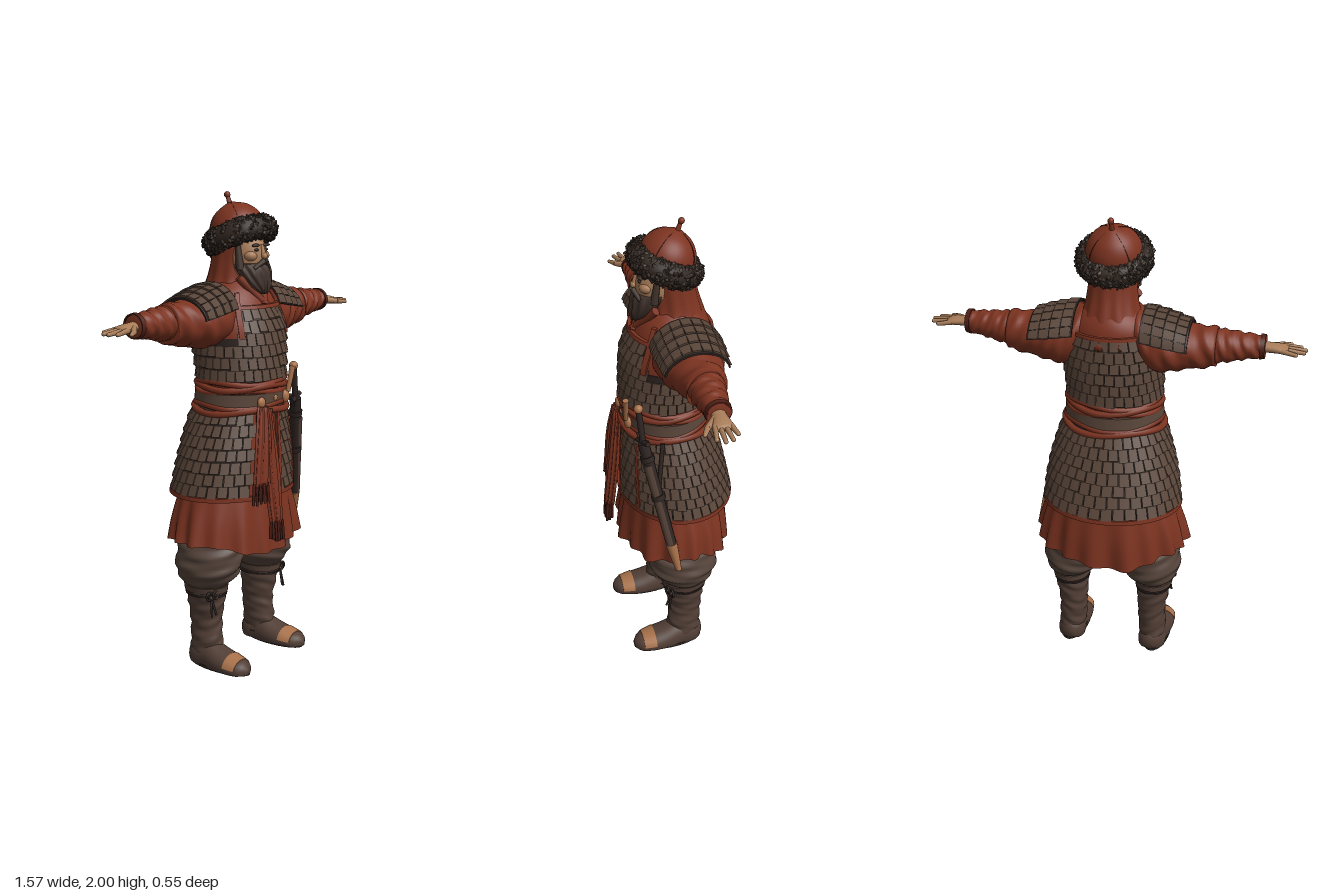
import * as THREE from 'three';
import { mergeGeometries } from 'three/addons/utils/BufferGeometryUtils.js';

const { sin, cos, PI, abs, max } = Math;
const V = (x, y, z) => new THREE.Vector3(x, y, z);
let seed = 7;
const rnd = () => (seed = (seed * 16807) % 2147483647) / 2147483647;

const mat = (name, color) => Object.assign(new THREE.MeshStandardMaterial({ color, side: THREE.DoubleSide }), { name });
const M = {
  rust: mat('rust cloth', 0x7c3320), maroon: mat('dark red cloth', 0x4c1f16),
  armour: mat('armour leather', 0x594539), dark: mat('dark leather', 0x2e2421),
  fur: mat('fur', 0x30261f), hair: mat('hair', 0x3f312a), skin: mat('skin', 0xa87c58),
  trouser: mat('trouser cloth', 0x54433a), boot: mat('boot leather', 0x513e35), tan: mat('tan horn', 0xa8714a),
};

// A body is a smooth stack of ellipses: rows of [height, rx, rz, cx, cz].
function body(sec) {
  const f = new THREE.CubicInterpolant(sec.map(s => s[0]), sec.flatMap(s => s.slice(1)), 4);
  return { t0: sec[0][0], t1: sec[sec.length - 1][0], at: t => [...f.evaluate(t)] };
}
function onBody(b, t, phi, off = 0) {
  const [rx, rz, cx, cz] = b.at(t);
  return [cx + max(rx + off, 0.001) * sin(phi), t, cz + max(rz + off, 0.001) * cos(phi)];
}
// Skin over a body; mod(phi, t, u) returns [outward offset, vertical shift].
function loft(b, rows, n, mod = () => [0, 0], caps = true) {
  const p = [], idx = [];
  for (let i = 0; i <= rows; i++) for (let j = 0; j < n; j++) {
    const u = i / rows, t = b.t0 + (b.t1 - b.t0) * u, phi = j / n * 2 * PI, [o, dy] = mod(phi, t, u);
    const q = onBody(b, t, phi, o);
    p.push(q[0], q[1] + dy, q[2]);
  }
  for (let i = 0; i < rows; i++) for (let j = 0; j < n; j++) {
    const k = (j + 1) % n, a = i * n;
    idx.push(a + j, a + k, a + n + j, a + k, a + n + k, a + n + j);
  }
  if (caps) {
    const c = p.length / 3, e = rows * n, lo = b.at(b.t0), hi = b.at(b.t1);
    p.push(lo[2], b.t0, lo[3], hi[2], b.t1, hi[3]);
    for (let j = 0; j < n; j++) idx.push(c, (j + 1) % n, j, c + 1, e + j, e + (j + 1) % n);
  }
  const g = new THREE.BufferGeometry();
  g.setAttribute('position', new THREE.Float32BufferAttribute(p, 3));
  g.setIndex(idx);
  g.computeVertexNormals();
  return g;
}
// Curved plate lying on a body.
function patch(b, p0, p1, t0, t1, off = 0.002, thick = 0.008, flare = 0, segs = 2, vs = 1) {
  const g = new THREE.BoxGeometry(1, 1, 1, segs, vs, 1), a = g.attributes.position;
  for (let i = 0; i < a.count; i++) {
    const v = a.getY(i) + 0.5;
    a.setXYZ(i, ...onBody(b, t0 + (t1 - t0) * v, p0 + (p1 - p0) * (a.getX(i) + 0.5),
      off + thick * (a.getZ(i) + 0.5) + flare * (1 - v)));
  }
  g.computeVertexNormals();
  return g;
}
function rod(a, b, r0, r1 = r0, n = 8) {
  const d = b.clone().sub(a), g = new THREE.CylinderGeometry(r1, r0, d.length(), n);
  g.applyQuaternion(new THREE.Quaternion().setFromUnitVectors(V(0, 1, 0), d.normalize()));
  return g.translate((a.x + b.x) / 2, (a.y + b.y) / 2, (a.z + b.z) / 2);
}
const ball = (x, y, z, rx, ry = rx, rz = rx) => new THREE.SphereGeometry(1, 20, 14).scale(rx, ry, rz).translate(x, y, z);
const merge = list => mergeGeometries(list.map(g => (g.deleteAttribute('uv'), g)));
function mirror(geo) {
  const g = geo.clone().scale(-1, 1, 1), a = g.index.array;
  for (let i = 0; i < a.length; i += 3) [a[i], a[i + 1]] = [a[i + 1], a[i]];
  return g;
}
// Rows of overlapping plates; keep(phi, row) chooses which ones exist.
function plates(b, n, rows, t0, t1, keep) {
  const out = [], h = (t1 - t0) / rows, w = 2 * PI / n;
  for (let r = 0; r < rows; r++) for (let j = 0; j < n; j++) {
    const phi = (j + (r % 2) / 2) * w - PI, y = t0 + r * h;
    if (keep(phi + w / 2, r)) out.push(patch(b, phi + 0.008, phi + w - 0.008, y + 0.008 * rnd(), y + h - 0.001, 0.001, 0.007, 0.01));
  }
  return merge(out);
}
const folds = (amp, f) => (p, t) => [amp * sin(t * f + 2 * sin(2 * p) + p) + amp * 0.5 * sin(t * f * 1.7 + 3 * p), 0];

export function createModel() {
  const root = new THREE.Group();
  function add(name, geo, m, both = false, parent = root) {
    for (const g of both ? [geo, mirror(geo)] : [geo]) {
      const mesh = new THREE.Mesh(g, m);
      mesh.name = both ? (g === geo ? 'left ' : 'right ') + name : name;
      parent.add(mesh);
    }
  }

  // Coat and chest armour
  const torso = body([[1.06, .21, .18, 0, .01], [1.17, .19, .165, 0, .015], [1.25, .19, .172, 0, .018], [1.35, .197, .178, 0, .01],
    [1.45, .2, .176, 0, .003], [1.52, .188, .163, 0, -.01], [1.58, .165, .145, 0, -.018], [1.63, .115, .11, 0, -.02], [1.66, .07, .07, 0, -.02]]);
  add('coat', loft(torso, 30, 48), M.rust);
  add('chest armour backing', merge([patch(torso, -PI, PI, 1.235, 1.42, .001, .003, 0, 48, 5),
    patch(torso, -.78, .78, 1.42, 1.535, .001, .003, 0, 16, 4), patch(torso, PI - 1, PI + 1, 1.42, 1.53, .001, .003, 0, 16, 4)]), M.dark);
  add('chest plates', plates(torso, 32, 6, 1.24, 1.54, (p, r) => r < 3 || abs(p) < .95 - .06 * r + .1 || abs(p) > PI - 1.05 + .04 * (r - 3)), M.armour);
  add('chest trim', merge([patch(torso, -.72, .72, 1.535, 1.55, .002, .014, 0, 16), patch(torso, PI - .95, PI + .95, 1.535, 1.55, .002, .012, 0, 16),
    ...[-1, 1].map(s => patch(torso, s * .78 - .06, s * .78 + .06, 1.42, 1.6, .002, .016, 0, 2, 6))]), M.rust);

  // Waist sash strands and belt
  const strand = (y, off, r, k) => new THREE.TubeGeometry(new THREE.CatmullRomCurve3(Array.from({ length: 24 }, (_, i) => {
    const p = i / 24 * 2 * PI;
    return V(...onBody(torso, y + .008 * sin(3 * p + k), p, off));
  }), true), 72, r, 8, true);
  add('waist sash', merge([strand(1.232, .006, .013, 0), strand(1.213, .01, .014, 2), strand(1.197, .008, .012, 4),
    strand(1.135, .008, .014, 1), strand(1.115, .012, .015, 3)]), M.rust);
  add('belt', patch(torso, -PI, PI, 1.14, 1.19, .004, .014, 0, 48), M.armour);
  add('belt fittings', merge([ball(-.085, 1.155, .19, .022, .024, .014), ball(.0, 1.165, .195, .013, .016, .01),
    ball(.08, 1.16, .19, .022, .028, .016), rod(V(.085, 1.18, .2), V(.11, 1.285, .205), .01, .013)]), M.tan);

  // Armoured skirt
  const skirt = body([[.755, .287, .228, 0, -.03], [.9, .268, .212, 0, -.015], [1.05, .228, .19, 0, 0], [1.13, .2, .175, 0, .01]]);
  add('skirt backing', loft(skirt, 10, 48), M.dark);
  add('skirt plates', plates(skirt, 36, 7, .765, 1.115, p => p < -.52 || p > .06), M.armour);
  add('skirt trim', merge([patch(skirt, -PI, PI, .75, .768, .002, .016, 0, 48), patch(skirt, -.52, .06, .76, 1.11, .001, .004, 0, 8, 6),
    patch(skirt, .02, .09, .76, 1.11, .002, .016, 0, 2, 6), patch(skirt, .56, .62, .76, 1.08, .002, .016, 0, 2, 6)]), M.rust);

  // Pleated cloth skirt
  const cloth = body([[.57, .33, .235, 0, -.018], [.66, .31, .226, 0, -.02], [.8, .265, .2, 0, -.02]]);
  add('cloth skirt', loft(cloth, 10, 144, (p, t, u) => [(1 - u) * (.012 * sin(17 * p + sin(3 * p)) + .007 * sin(9 * p + 1)),
    (1 - u) * (-.028 * (1 + cos(2 * p)) + .008 * sin(5 * p))], false), M.rust);

  // Hanging sash ends with tassels
  const pleat = p => [.006 * sin(9 * p), 0];
  add('sash ends', merge([loft(body([[.82, .048, .018, -.125, .225], [1, .04, .018, -.105, .215], [1.14, .022, .018, -.085, .195]]), 14, 36, pleat),
    loft(body([[.65, .03, .018, -.06, .25], [.85, .042, .018, -.06, .228], [1.13, .025, .016, -.065, .198]]), 16, 36, pleat)]), M.rust);
  const fringe = (x, y, z, w) => Array.from({ length: 12 }, (_, i) => {
    const k = (i / 11 - .5) * 2 * w, d = (i % 3 - 1) * .01;
    return rod(V(x + k, y + .01, z + d), V(x + k * 1.15, y - .065 - .015 * rnd(), z + d * 1.3 + .004), .007, .006, 5);
  });
  add('tassels', merge([...fringe(-.125, .82, .228, .044), ...fringe(-.06, .65, .252, .026)]), M.maroon);

  // Sleeves, built along y then laid along x
  const toArm = g => g.rotateZ(-PI / 2);
  const upper = body([[.1, .1, .12, -1.53, -.02], [.2, .115, .138, -1.492, -.028], [.3, .093, .112, -1.487, -.03],
    [.38, .086, .088, -1.492, -.032], [.43, .08, .08, -1.494, -.032]]);
  const lower = body([[.38, .07, .07, -1.497, -.03], [.45, .068, .07, -1.5, -.028], [.54, .054, .057, -1.505, -.022], [.62, .043, .045, -1.508, -.018]]);
  add('sleeve', toArm(loft(upper, 32, 32, folds(.004, 70))), M.rust, true);
  add('forearm sleeve', toArm(loft(lower, 36, 32, folds(.003, 120))), M.rust, true);
  add('cuff', toArm(patch(lower, -PI, PI, .6, .62, 0, .006, 0, 24)), M.maroon, true);

  // Shoulder guards
  const pad = body([[.13, .125, .14, -1.512, -.03], [.23, .12, .14, -1.495, -.03], [.33, .1, .128, -1.482, -.03]]);
  const guard = [];
  for (let i = 0; i < 4; i++) for (let j = 0; j < 9; j++) {
    const p = -PI / 2 - 1.32 + j * .294, t = .14 + i * .045;
    guard.push(patch(pad, p + .012, p + .282, t + .002, t + .043, .006, .008, -.006));
  }
  add('shoulder plates', toArm(merge(guard)), M.armour, true);
  add('shoulder backing', toArm(patch(pad, -PI / 2 - 1.35, -PI / 2 + 1.35, .135, .325, 0, .007, 0, 16, 6)), M.dark, true);

  // Hands
  const fingers = [[.75, -.05], [.78, -.022], [.785, .008], [.765, .035]].flatMap(([x, z], i) => {
    const a = V(.685, 1.502, -.038 + i * .019), e = V(x - .008, 1.495, z);
    return [rod(a, e, .0115, .0085), ball(e.x, e.y, e.z, .0085)];
  });
  add('hand', merge([toArm(loft(body([[.59, .022, .027, -1.506, -.016], [.64, .02, .03, -1.505, -.014], [.69, .016, .038, -1.502, -.01], [.71, .01, .034, -1.5, -.01]]), 10, 20)),
    ...fingers, rod(V(.64, 1.503, .005), V(.68, 1.497, .045), .016, .012), rod(V(.68, 1.497, .045), V(.715, 1.493, .065), .012, .008), ball(.715, 1.493, .065, .008)]), M.skin, true);

  // Head, face and beard
  add('head', merge([ball(0, 1.74, .04, .08, .12, .093), ball(0, 1.745, .137, .013, .014, .013), rod(V(0, 1.745, .135), V(0, 1.79, .124), .012, .007),
    ball(.04, 1.745, .095, .03, .024, .03), ball(-.04, 1.745, .095, .03, .024, .03), rod(V(0, 1.53, .02), V(0, 1.68, .03), .06),
    ball(0, 1.585, .085, .035, .035, .042)]), M.skin);
  add('eye', ball(.031, 1.77, .121, .013, .006, .006), M.dark, true);
  add('eyebrow', ball(.034, 1.788, .119, .024, .007, .01).rotateZ(0), M.hair, true);
  add('moustache', rod(V(.004, 1.726, .14), V(.05, 1.695, .122), .012, .008), M.hair, true);
  add('beard', loft(body([[1.592, .016, .014, 0, .132], [1.62, .05, .036, 0, .117], [1.66, .075, .055, 0, .095], [1.69, .083, .063, 0, .08], [1.715, .082, .062, 0, .068]]),
    14, 48, (p, t) => [.004 * sin(11 * p + t * 40), 0]), M.hair);
  add('sideburn', rod(V(.079, 1.69, .075), V(.078, 1.79, .06), .018, .012), M.hair, true);

  // Hood and crossed collar
  const hood = body([[1.5, .165, .16, 0, -.03], [1.56, .15, .135, 0, -.028], [1.62, .116, .112, 0, -.032], [1.7, .1, .096, 0, -.024], [1.82, .094, .095, 0, -.01]]);
  add('hood', loft(hood, 16, 64, (p, t, u) => [(1 - u) * .006 * sin(11 * p), 0]), M.rust);
  add('collar', rod(V(.085, 1.66, .07), V(-.01, 1.545, .142), .018, .016), M.rust, true);

  // Fur-brimmed cap, tilted back
  const hat = new THREE.Group();
  hat.name = 'cap';
  hat.position.set(0, 1.82, .01);
  hat.rotation.x = -.38;
  root.add(hat);
  const dome = body([[0, .115, .115, 0, 0], [.05, .113, .113, 0, 0], [.09, .095, .095, 0, 0], [.12, .065, .065, 0, 0], [.142, .02, .02, 0, 0]]);
  add('cap dome', merge([loft(dome, 14, 40), rod(V(0, .13, 0), V(0, .175, 0), .012, .008), ball(0, .18, 0, .013, .014, .013)]), M.rust, false, hat);
  add('cap seams', merge([0, 1, 2, 3].map(i => patch(dome, i * PI / 2 - .015 + PI / 4, i * PI / 2 + .015 + PI / 4, .02, .138, 0, .003, 0, 1, 8))), M.maroon, false, hat);
  add('fur brim', new THREE.TorusGeometry(.118, .038, 12, 40).rotateX(PI / 2).scale(1, 1.25, 1), M.fur, false, hat);
  for (const m of [M.fur, M.hair]) {
    const tufts = [];
    for (let i = 0; i < 320; i++) {
      const a = rnd() * 2 * PI, c = (rnd() * 1.3 - .65) * PI, r = .118 + .034 * cos(c), l = .009 + rnd() * .006;
      const p = V(r * sin(a), .044 * sin(c), r * cos(a)), d = V(sin(a) * cos(c), sin(c), cos(a) * cos(c));
      d.add(V(rnd() - .5, rnd() - .5, rnd() - .5).multiplyScalar(1.2)).normalize();
      tufts.push(rod(p, p.clone().addScaledVector(d, l), .011, .002, 5));
    }
    add('fur tufts', merge(tufts), m, false, hat);
  }

  // Trousers
  const leg = body([[.362, .082, .095, .186, -.025], [.385, .104, .118, .183, -.026], [.42, .124, .142, .178, -.024], [.48, .13, .15, .172, -.02], [.56, .122, .142, .15, -.018], [.64, .11, .13, .125, -.015]]);
  add('trouser leg', loft(leg, 28, 40, folds(.004, 85)), M.trouser, true);
  add('trouser seat', ball(0, .64, -.015, .2, .11, .145), M.trouser);

  // Boots
  const shaft = body([[.04, .058, .075, .187, -.025], [.1, .06, .074, .186, -.024], [.2, .061, .073, .182, -.03], [.28, .07, .084, .186, -.026], [.37, .079, .096, .19, -.024]]);
  add('boot shaft', loft(shaft, 32, 32, folds(.0025, 95)), M.boot, true);
  add('boot cuff', patch(shaft, -PI, PI, .335, .362, 0, .007, 0, 32), M.boot, true);
  const foot = body([[-.103, .025, .03, .186, -.04], [-.08, .052, .06, .187, -.035], [0, .062, .075, .19, -.035], [.08, .068, .06, .194, -.025], [.15, .062, .046, .197, -.02], [.195, .042, .034, .199, -.018], [.213, .014, .018, .2, -.016]]);
  const toFoot = g => {
    g.rotateX(PI / 2);
    const a = g.attributes.position;
    for (let i = 0; i < a.count; i++) a.setY(i, max(a.getY(i), .004));
    g.computeVertexNormals();
    return g;
  };
  add('boot foot', toFoot(loft(foot, 20, 32)), M.boot, true);
  add('toe band', toFoot(patch(foot, PI - 1.4, PI + 1.4, .12, .175, 0, .003, 0, 12, 4)), M.tan, true);
  add('sole', new THREE.CylinderGeometry(1, 1, .012, 28).scale(.062, 1, .157).translate(.193, .006, .054), M.dark, true);
  add('boot ties', merge([patch(shaft, -PI, PI, .318, .327, 0, .006, 0, 24), ball(.245, .322, .05, .012),
    rod(V(.245, .32, .05), V(.255, .24, .062), .005), rod(V(.245, .32, .05), V(.235, .25, .07), .005),
    new THREE.TorusGeometry(.017, .005, 6, 12).translate(.23, .335, .062), new THREE.TorusGeometry(.017, .005, 6, 12).translate(.258, .333, .05)]), M.dark, true);

  // Sheathed sword on the left hip
  const at = k => V(.2, 1.13, .158).lerp(V(.345, .56, .05), k);
  add('scabbard', merge([rod(at(0), at(.82), .024, .022, 10), rod(V(.17, 1.27, .168), V(.198, 1.13, .158), .013),
    rod(V(.155, 1.12, .17), V(.24, 1.145, .148), .011), rod(at(.12), V(.15, 1.15, .165), .01), rod(at(.42), V(.215, 1.12, .08), .009),
    ...[.1, .4].map(k => rod(at(k), at(k + .04), .03, .03, 10))]), M.dark);
  add('scabbard face', rod(at(.16).add(V(.008, 0, .008)), at(.8).add(V(.006, 0, .006)), .02, .018, 8), M.boot);
  add('scabbard tip', merge([rod(at(.8), at(1.02), .026, .013, 10), ball(.168, 1.275, .168, .019)]), M.tan);
  return root;
}
